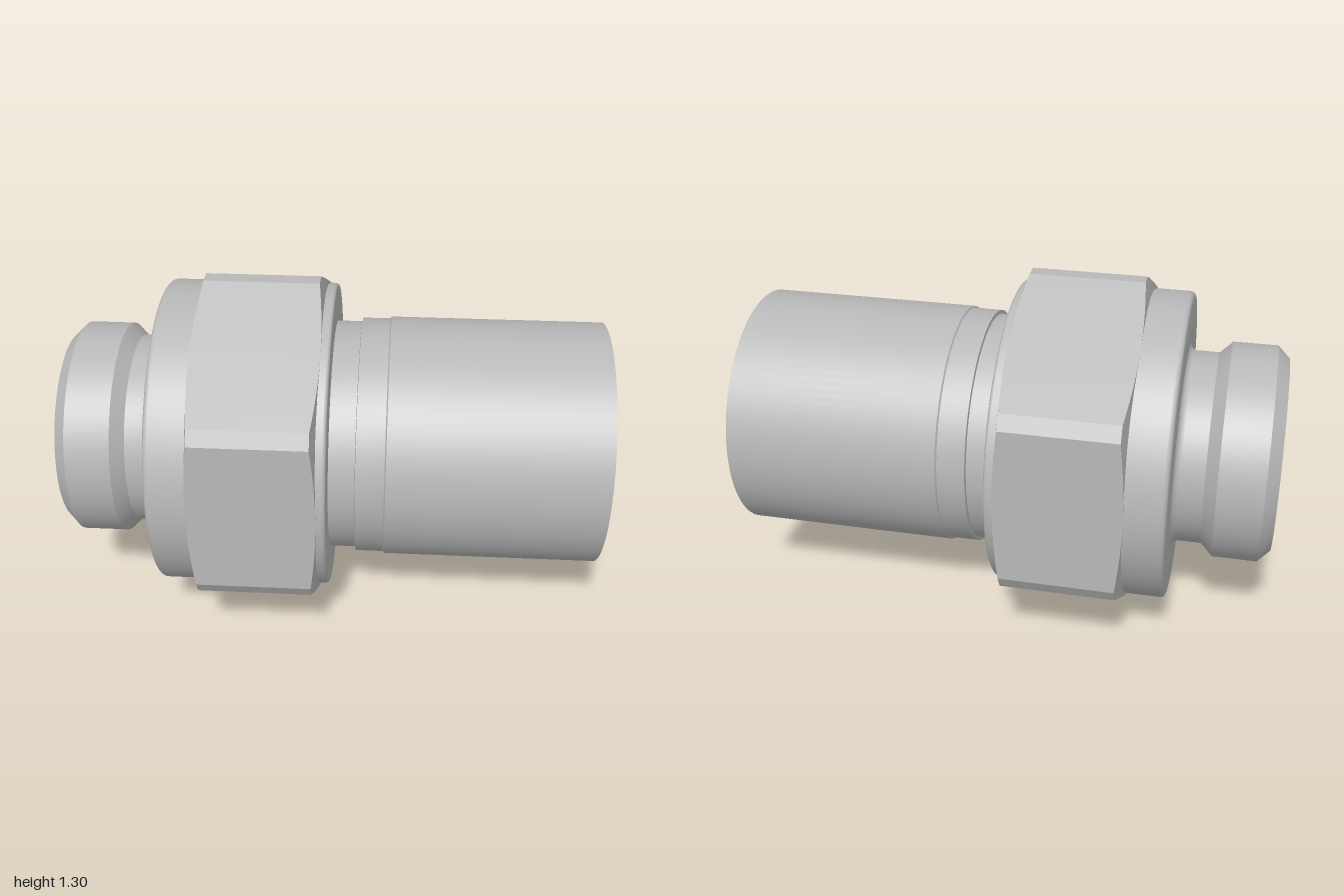
import * as THREE from 'three';
import { toCreasedNormals } from 'three/addons/utils/BufferGeometryUtils.js';

const AXIS_Y = 0.652;
const CREASE = 0.33;

// Turned surface about the x axis; profile is a list of [x, radius]
function turned(profile) {
  const pts = profile.map(([x, r]) => new THREE.Vector2(r, x));
  const geo = new THREE.LatheGeometry(pts, 96);
  geo.rotateZ(-Math.PI / 2);
  return toCreasedNormals(geo, CREASE);
}

// Quarter-round between two radii and positions, as profile points
function arc(cx, cr, rad, from, to, n = 5) {
  return Array.from({ length: n + 1 }, (_, i) => {
    const a = from + (to - from) * i / n;
    return [cx + rad * Math.cos(a), cr + rad * Math.sin(a)];
  });
}

// Hexagonal prism along x with blunted corners and conically chamfered ends
function hexBody(x0, x1, apothem, cornerR) {
  const blunt = Math.atan((apothem / cornerR - Math.cos(Math.PI / 6)) * 2);
  const angles = [];
  for (let k = 0; k < 6; k++) {
    const base = k * Math.PI / 3;
    angles.push(base - blunt, base);
    for (let i = 0; i < 20; i++) {
      angles.push(base + blunt + (Math.PI / 3 - 2 * blunt) * i / 20);
    }
  }
  const radius = (a) => {
    const off = a - Math.round(a / (Math.PI / 3)) * Math.PI / 3;
    return Math.min(cornerR / Math.cos(off), apothem / Math.cos(Math.PI / 6 - Math.abs(off)));
  };
  const pos = [], index = [], n = angles.length;
  for (const a of angles) {
    const R = radius(a), cut = (R - apothem) * 0.27;
    for (const [x, r] of [[x0, 0.56], [x0 + cut, R], [x1 - cut, R], [x1, 0.56]]) {
      pos.push(x, r * Math.cos(a), r * Math.sin(a));
    }
  }
  for (let i = 0; i < n; i++) {
    const p = i * 4, q = ((i + 1) % n) * 4;
    for (let j = 0; j < 3; j++) {
      index.push(p + j, q + j, p + j + 1, q + j, q + j + 1, p + j + 1);
    }
  }
  const geo = new THREE.BufferGeometry();
  geo.setAttribute('position', new THREE.Float32BufferAttribute(pos, 3));
  // x runs along the part and the angle turns from y to z, so flip to face outward
  for (let i = 0; i < index.length; i += 3) {
    [index[i + 1], index[i + 2]] = [index[i + 2], index[i + 1]];
  }
  geo.setIndex(index);
  orientOutward(geo);
  return toCreasedNormals(geo, CREASE);
}

// Reverse every triangle if the side walls point toward the axis
function orientOutward(geo) {
  const p = geo.attributes.position, ix = geo.index;
  const [a, b, c] = [6, 7, 8].map((i) => new THREE.Vector3().fromBufferAttribute(p, ix.getX(i)));
  const normal = b.clone().sub(a).cross(c.clone().sub(a));
  if (normal.y * a.y + normal.z * a.z < 0) {
    for (let i = 0; i < ix.count; i += 3) {
      const t = ix.getX(i + 1);
      ix.setX(i + 1, ix.getX(i + 2));
      ix.setX(i + 2, t);
    }
  }
}

export function createModel() {
  const group = new THREE.Group();
  group.name = 'pipeFitting';
  const steel = new THREE.MeshStandardMaterial({ color: 0xb8b8b8 });
  steel.name = 'steel grey';
  const add = (name, geo) => {
    const mesh = new THREE.Mesh(geo, steel);
    mesh.name = name;
    mesh.position.y = AXIS_Y;
    group.add(mesh);
  };
  const PI = Math.PI;

  // Short port end with chamfers, neck and fillet into the collar
  add('portEnd', turned([
    [-1, 0.28], [-1, 0.36], [-0.955, 0.404], [-0.79, 0.404], [-0.745, 0.36],
    ...arc(-0.66, 0.385, 0.025, -PI / 2, 0),
  ]));

  // Round collar through the hexagon with softened rims
  add('collar', turned([
    [-0.635, 0.385],
    ...arc(-0.617, 0.56, 0.018, PI, PI / 2),
    ...arc(-0.012, 0.566, 0.012, PI / 2, 0),
    [0, 0.435],
  ]));

  add('hexagon', hexBody(-0.49, -0.033, 0.58, 0.652));

  // Stepped long tube
  add('tubeEnd', turned([
    [0, 0.435], [0.095, 0.435], [0.097, 0.449], [0.2, 0.449],
    [0.205, 0.456], [1, 0.456], [1, 0.428],
  ]));

  // Tapered ring groove between outer tube and inner sleeve
  add('endGroove', turned([[1, 0.428], [0.82, 0.39], [0.82, 0.345], [1, 0.32]]));

  // Sleeve rim and through bore
  add('bore', turned([[1, 0.32], [1, 0.286], [0.97, 0.266], [-0.96, 0.266], [-1, 0.28]]));

  return group;
}
